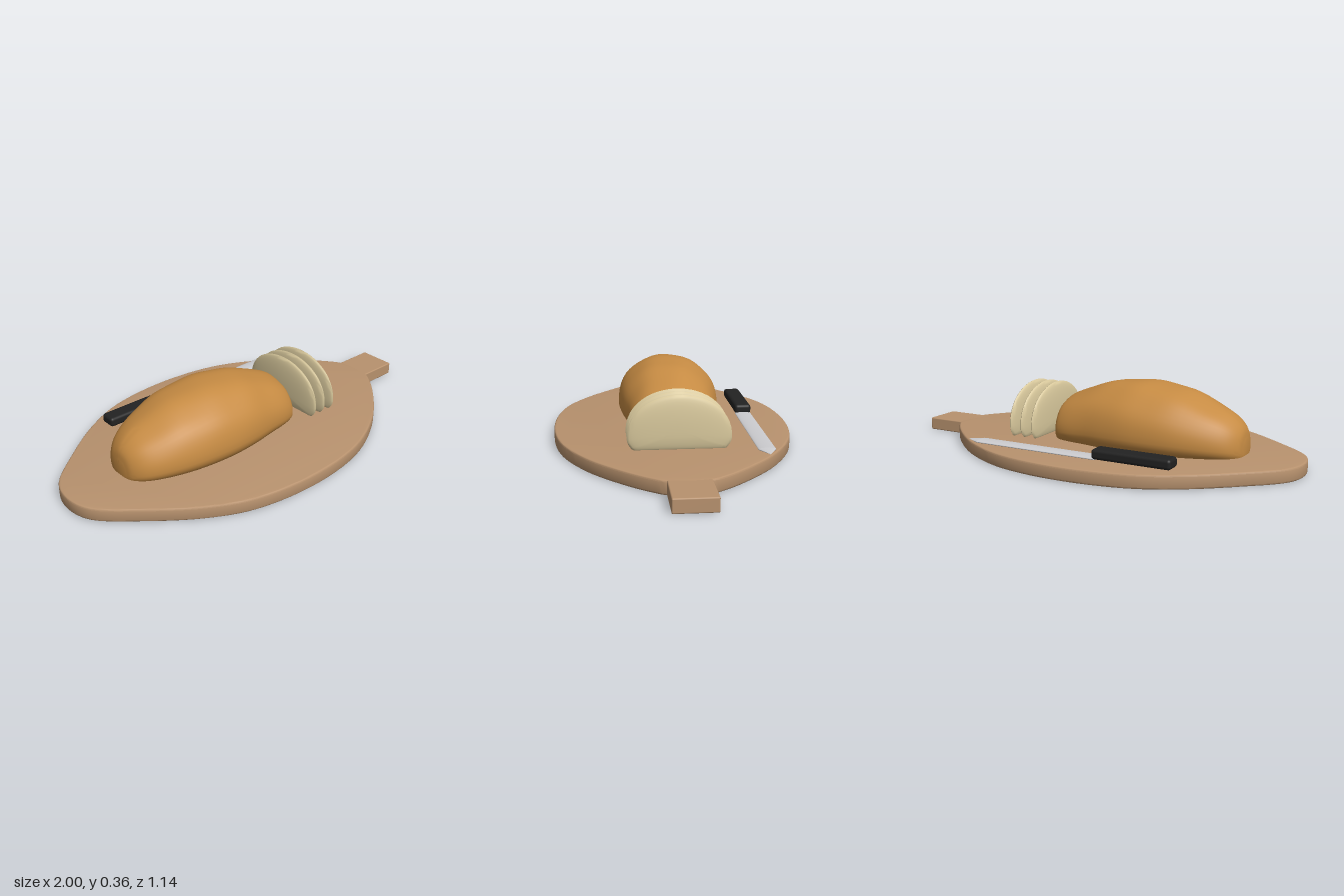
import * as THREE from 'three';
import { toCreasedNormals } from 'three/addons/utils/BufferGeometryUtils.js';
import { RoundedBoxGeometry } from 'three/addons/geometries/RoundedBoxGeometry.js';

const mat = (name, color) => {
  const m = new THREE.MeshStandardMaterial({ color });
  m.name = name;
  return m;
};

// Loft of dome-shaped sections along x; each station is { x, w: half width, top, base }
function domeLoft(stations, bump = 0) {
  const n = 36, low = 0.5, pos = [], idx = [];
  stations.forEach(({ x, w, top, base }) => {
    const waist = base + (top - base) * 0.22;
    for (let j = 0; j < n; j++) {
      const a = -low + (Math.PI + 2 * low) * j / (n - 1);
      const s = Math.sin(a);
      const k = 1 + bump * Math.max(0, s) * Math.sin(x * 19 + a * 3) * Math.cos(a * 5 - x * 11);
      const y = s >= 0 ? waist + (top - waist) * Math.pow(s, 0.92) * k
        : waist + (waist - base) * Math.max(-1, s / Math.sin(low));
      pos.push(x, y, w * Math.cos(a) * k);
    }
  });
  for (let i = 0; i < stations.length - 1; i++) {
    for (let j = 0; j < n; j++) {
      const a = i * n + j, b = i * n + (j + 1) % n;
      idx.push(a, a + n, b, b, a + n, b + n);
    }
  }
  const g = new THREE.BufferGeometry();
  g.setAttribute('position', new THREE.Float32BufferAttribute(pos, 3));
  g.setIndex(idx);
  return toCreasedNormals(g, 0.8);
}

export function createModel() {
  const group = new THREE.Group();
  const wood = mat('wood', 0xb8926e);
  const crust = mat('crust', 0xc68b43);
  const crumb = mat('crumb', 0xd8c89c);
  const steel = mat('steel', 0xcccccf);
  const black = mat('handle black', 0x222222);
  const add = (name, geometry, material, x = 0, y = 0, z = 0) => {
    const m = new THREE.Mesh(geometry, material);
    m.name = name;
    m.position.set(x, y, z);
    group.add(m);
    return m;
  };

  // Leaf-shaped board with a softly rounded rim
  const T = 0.063, B = 0.008;
  const half = [[-0.97, 0.12], [-0.8, 0.285], [-0.6, 0.435], [-0.4, 0.53], [-0.08, 0.572],
    [0.24, 0.53], [0.48, 0.415], [0.65, 0.275], [0.76, 0.155], [0.805, 0.08]];
  const outline = [[-1, 0], ...half, ...half.slice().reverse().map(([x, z]) => [x, -z])]
    .map(([x, z]) => new THREE.Vector3(x, z, 0));
  const curve = new THREE.CatmullRomCurve3(outline, true);
  const shape = new THREE.Shape(curve.getPoints(120).slice(0, -1).map(p => new THREE.Vector2(p.x, p.y)));
  const boardGeo = new THREE.ExtrudeGeometry(shape, {
    depth: T - 2 * B, bevelThickness: B, bevelSize: B, bevelOffset: -B, bevelSegments: 3,
  });
  boardGeo.rotateX(-Math.PI / 2).translate(0, B, 0);
  add('board', toCreasedNormals(boardGeo, 0.7), wood);
  add('boardHandle', new RoundedBoxGeometry(0.26, T, 0.185, 2, 0.006), wood, 0.87, T / 2, 0);

  // Loaf: x, half width, top height
  const profile = [[-0.732, 0.04, 0.13], [-0.72, 0.085, 0.18], [-0.68, 0.135, 0.225], [-0.6, 0.182, 0.272],
    [-0.45, 0.23, 0.332], [-0.27, 0.25, 0.358], [-0.12, 0.24, 0.352], [0, 0.218, 0.322],
    [0.12, 0.195, 0.275], [0.168, 0.17, 0.245], [0.18, 0.125, 0.205]];
  const spine = new THREE.CatmullRomCurve3(profile.map(p => new THREE.Vector3(...p)));
  const loaf = spine.getPoints(50).map(p => ({ x: p.x, w: p.y, top: p.z, base: 0.062 }));
  loaf.unshift({ x: -0.734, w: 0, top: 0.09, base: 0.088 });
  loaf.push({ x: 0.181, w: 0, top: 0.125, base: 0.123 });
  add('loaf', domeLoft(loaf, 0.018), crust);

  // Three lens-shaped slices standing beside the loaf
  const slice = [];
  for (let i = 0; i <= 20; i++) {
    const t = Math.PI * i / 20, s = Math.sin(t);
    slice.push({ x: -0.025 * Math.cos(t), w: 0.235 * s, top: 0.15 + 0.16 * s, base: 0.148 - 0.088 * s });
  }
  const sliceGeo = domeLoft(slice);
  for (let i = 0; i < 3; i++) add('slice' + (i + 1), sliceGeo, crumb, 0.262 + 0.061 * i);

  // Knife: flattened blade, pointed tip and rounded grip
  const kz = -0.382, ky = 0.07;
  const bladeGeo = new THREE.CylinderGeometry(0.04, 0.04, 0.63, 24).rotateZ(-Math.PI / 2).scale(1, 0.2, 1);
  add('knifeBlade', bladeGeo, steel, 0.135, ky, kz);
  const tipGeo = new THREE.ConeGeometry(0.04, 0.075, 24).rotateZ(-Math.PI / 2).scale(1, 0.2, 1);
  add('knifeTip', tipGeo, steel, 0.4875, ky, kz);
  add('knifeHandle', new RoundedBoxGeometry(0.38, 0.047, 0.082, 3, 0.015), black, -0.357, 0.0915, kz);

  return group;
}
